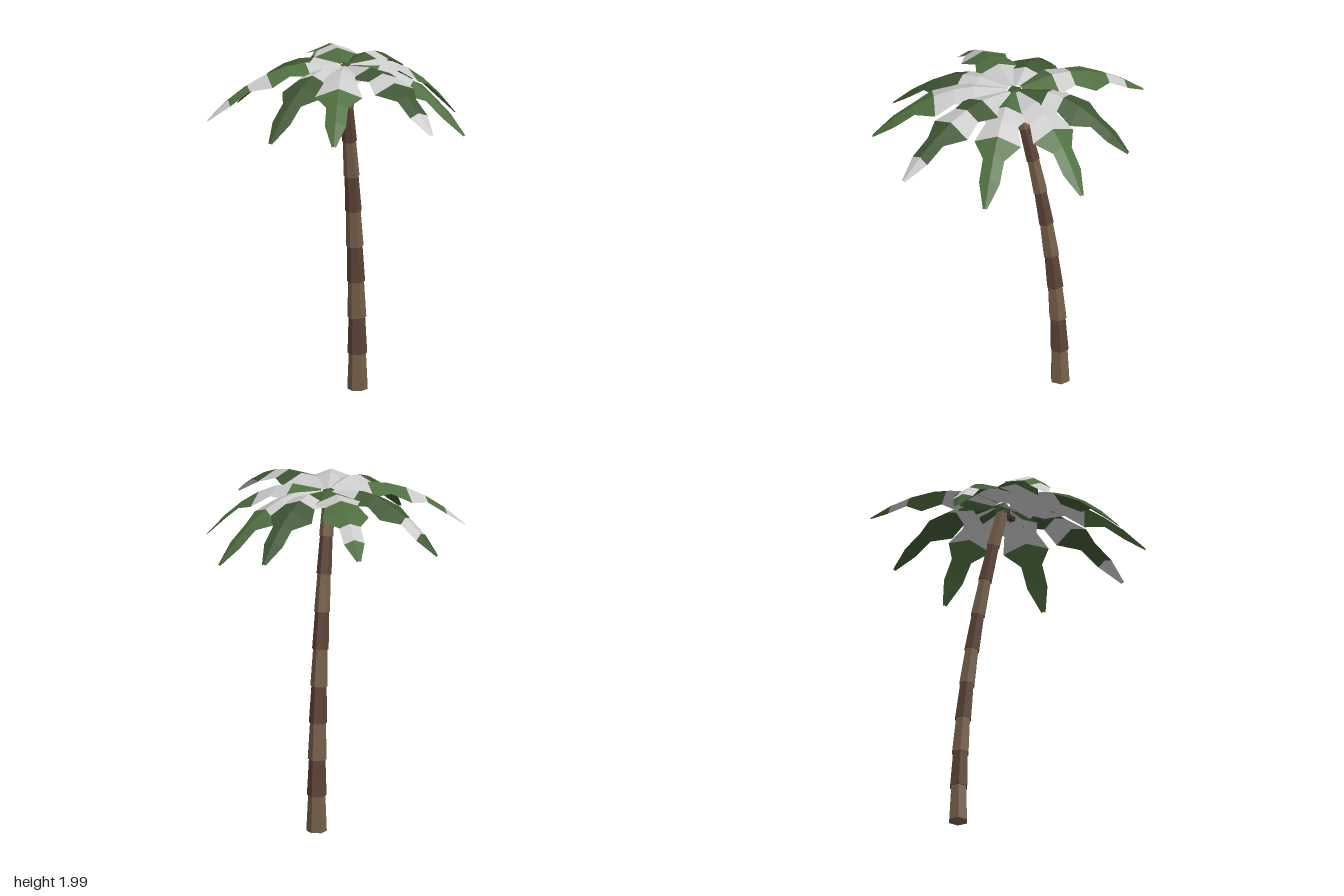
import * as THREE from 'three';

const mat = (color, side = THREE.FrontSide) =>
  new THREE.MeshStandardMaterial({ color, flatShading: true, side });

const HUB = new THREE.Vector3(0.045, 1.935, -0.055);

// Frond rows: position along the length, half width
const ROWS = [[0.05, 0.045], [0.29, 0.135], [0.43, 0.095], [0.57, 0.135], [0.71, 0.062], [0.85, 0.06], [1, 0.012]];

// Fronds: tip x, y, z, light or dark green, and segments from hub to tip (g green, w pale)
const FRONDS = [
  [0.25, 1.77, -0.8, 'light', 'gwggwg'],
  [0.65, 1.7, -0.41, 'dark', 'gwgggg'],
  [0.73, 1.6, -0.03, 'light', 'wwwggg'],
  [0.52, 1.6, 0.495, 'light', 'gwwggg'],
  [0.155, 1.71, 0.8, 'dark', 'wgwggw'],
  [-0.38, 1.665, 0.63, 'light', 'wwwggg'],
  [-0.62, 1.64, 0.31, 'dark', 'wwgggg'],
  [-0.74, 1.67, -0.235, 'light', 'wggwgw'],
  [-0.36, 1.65, -0.605, 'dark', 'wgggwg'],
];

// Ridged rows of left, middle and right points along an arching, drooping line
function frondRows(x, y, z) {
  const along = new THREE.Vector3(x - HUB.x, 0, z - HUB.z);
  const across = new THREE.Vector3(along.z, 0, -along.x).normalize();
  const rise = 0.25 + (y - 1.6) * 0.5;
  const droop = rise - (y - HUB.y);
  return ROWS.map(([t, half]) => {
    const mid = HUB.clone().addScaledVector(along, t);
    mid.y += rise * t - droop * t * t;
    const edge = (s) => {
      const p = mid.clone().addScaledVector(across, s * half);
      p.y -= half * 0.38;
      return p;
    };
    return [edge(-1), mid, edge(1)];
  });
}

// Surface of the segments that carry the given letter
function frondGeometry(rows, pattern, letter) {
  const points = [];
  [...pattern].forEach((c, i) => {
    if (c !== letter) return;
    for (let k = 0; k < 2; k++) {
      const a = rows[i][k], b = rows[i][k + 1], c2 = rows[i + 1][k + 1], d = rows[i + 1][k];
      points.push(a, d, b, b, d, c2);
    }
  });
  const geo = new THREE.BufferGeometry().setFromPoints(points);
  geo.computeVertexNormals();
  // Keep the front of every face upward
  if (geo.attributes.normal.getY(0) < 0) {
    for (let i = 0; i < points.length; i += 3) [points[i], points[i + 1]] = [points[i + 1], points[i]];
    geo.setFromPoints(points);
    geo.computeVertexNormals();
  }
  return geo;
}

export function createModel() {
  const model = new THREE.Group();
  model.name = 'palmTree';

  // Trunk of tapered six-sided rings, leaning in a curve
  const trunk = new THREE.Group();
  trunk.name = 'trunk';
  const bark = [mat(0x75604a), mat(0x5c4337)];
  const COUNT = 9, HEIGHT = 1.9;
  const trunkPoint = (t) => new THREE.Vector3(0.22 - 0.18 * t * t, HEIGHT * t, -0.245 + 0.185 * t * t);
  const up = new THREE.Vector3(0, 1, 0);
  for (let i = 0; i < COUNT; i++) {
    const a = trunkPoint(i / COUNT), b = trunkPoint((i + 1) / COUNT);
    const dir = b.clone().sub(a);
    const radius = 0.058 - 0.0022 * i;
    const ring = new THREE.Mesh(new THREE.CylinderGeometry(radius * 0.84, radius, dir.length(), 6), bark[i % 2]);
    ring.name = 'trunkRing';
    ring.position.copy(a).add(b).multiplyScalar(0.5);
    ring.quaternion.setFromUnitVectors(up, dir.normalize());
    trunk.add(ring);
  }
  model.add(trunk);

  // Fronds around the crown
  const greens = {
    light: mat(0x507040, THREE.DoubleSide),
    dark: mat(0x405834, THREE.DoubleSide),
  };
  const pale = mat(0xcccccc, THREE.DoubleSide);
  const crown = new THREE.Group();
  crown.name = 'crown';
  for (const [x, y, z, tone, pattern] of FRONDS) {
    const rows = frondRows(x, y, z);
    const frond = new THREE.Group();
    frond.name = 'frond';
    const green = new THREE.Mesh(frondGeometry(rows, pattern, 'g'), greens[tone]);
    green.name = 'greenSegments';
    const white = new THREE.Mesh(frondGeometry(rows, pattern, 'w'), pale);
    white.name = 'paleSegments';
    frond.add(green, white);
    crown.add(frond);
  }

  // Bud at the centre and a small nut beneath it
  const bud = new THREE.Mesh(new THREE.IcosahedronGeometry(0.05, 0), mat(0x405834));
  bud.name = 'bud';
  bud.position.set(HUB.x, 1.91, HUB.z);
  const nut = new THREE.Mesh(new THREE.IcosahedronGeometry(0.027, 0), mat(0x4a382c));
  nut.name = 'nut';
  nut.position.set(0.028, 1.868, -0.01);
  crown.add(bud, nut);
  model.add(crown);

  return model;
}
